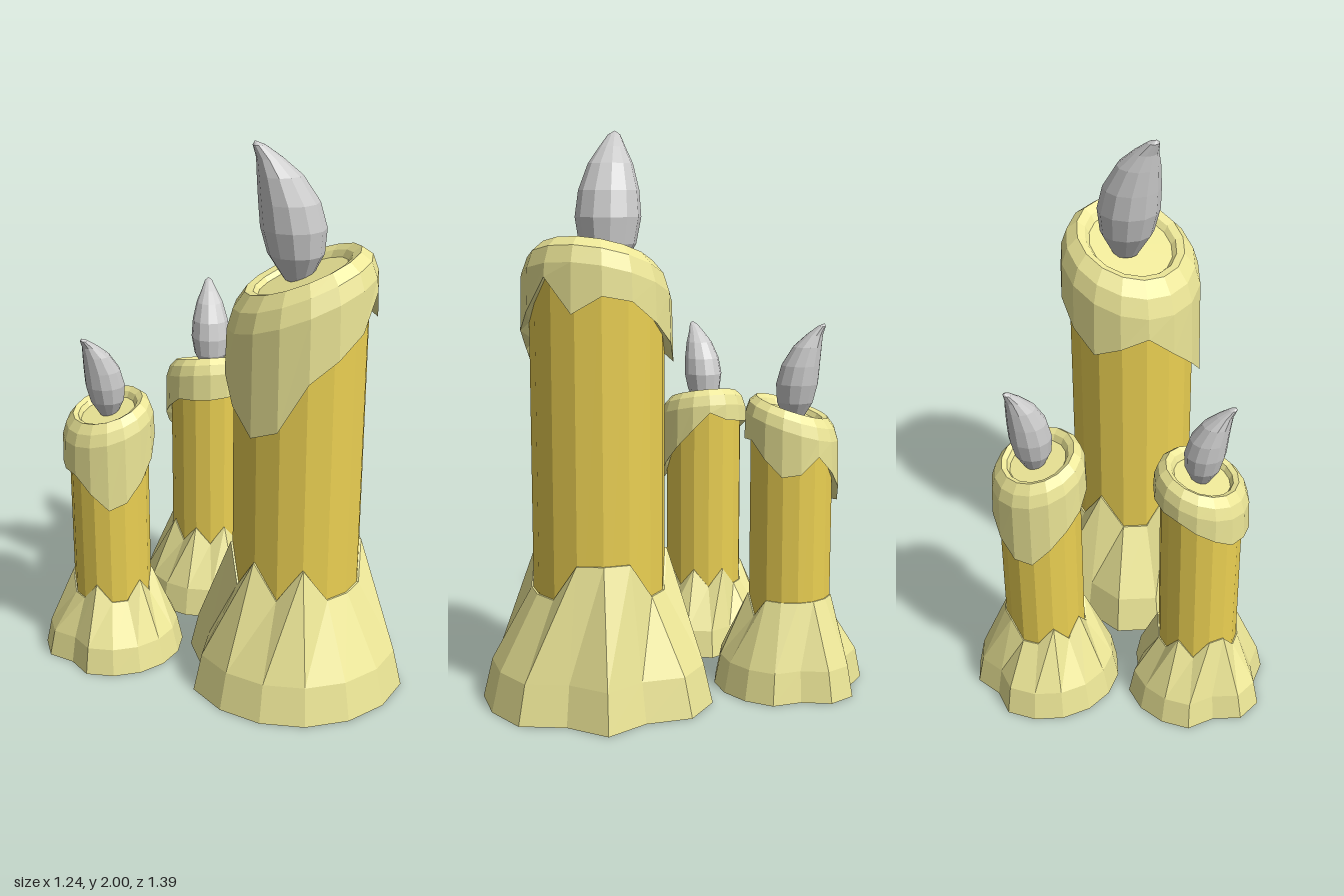
import * as THREE from 'three';

const SIDES = 16;
const { lerp } = THREE.MathUtils;
const wax = new THREE.MeshStandardMaterial({ color: 0xebe596, flatShading: true, side: THREE.DoubleSide });
const gold = new THREE.MeshStandardMaterial({ color: 0xebd052, flatShading: true });
const grey = new THREE.MeshStandardMaterial({ color: 0xcccccc, flatShading: true });

// One ring of points; radius and height are functions of the side index
function ring(radius, height, cx = 0, cz = 0, sides = SIDES) {
  return Array.from({ length: sides }, (_, k) => {
    const a = (k / sides) * Math.PI * 2, r = radius(k);
    return new THREE.Vector3(cx + r * Math.cos(a), height(k), cz + r * Math.sin(a));
  });
}

// Skin a list of rings, bottom to top, with flat facets
function loft(name, rings, material) {
  const pos = [];
  const tri = (a, b, c) => {
    if (a.distanceTo(b) < 1e-6 || b.distanceTo(c) < 1e-6 || c.distanceTo(a) < 1e-6) return;
    for (const p of [a, b, c]) pos.push(p.x, p.y, p.z);
  };
  for (let i = 0; i < rings.length - 1; i++) {
    const lo = rings[i], hi = rings[i + 1], n = lo.length;
    for (let k = 0; k < n; k++) {
      const j = (k + 1) % n;
      tri(lo[k], hi[k], lo[j]);
      tri(lo[j], hi[k], hi[j]);
    }
  }
  const geo = new THREE.BufferGeometry();
  geo.setAttribute('position', new THREE.Float32BufferAttribute(pos, 3));
  geo.computeVertexNormals();
  const mesh = new THREE.Mesh(geo, material);
  mesh.name = name;
  return mesh;
}

// Height on side k, running straight between [side, height] keys around the candle
function aroundEdge(keys, k) {
  const next = keys.findIndex(key => key[0] > k);
  const [k0, y0] = keys.at(next - 1 < 0 ? -1 : next - 1);
  const [k1, y1] = next < 0 ? [SIDES, keys[0][1]] : keys[next];
  return lerp(y0, y1, (k - k0) / (k1 - k0));
}

// Flame that swells, narrows and leans from its base to its tip
function makeFlame(base, tip, radius) {
  const width = new THREE.SplineCurve([[0, 0.4], [0.19, 0.86], [0.38, 1], [0.57, 0.92], [0.76, 0.68],
    [0.88, 0.4], [0.97, 0.19], [1, 0]].map(p => new THREE.Vector2(...p)));
  const rings = width.getPoints(7).map(({ x: t, y: r }) => {
    const lean = 0.25 * t + 0.75 * t ** 4;
    return ring(() => Math.max(r, 0) * radius, () => lerp(base[1], tip[1], t),
      lerp(base[0], tip[0], lean), lerp(base[2], tip[2], lean), 12);
  });
  return loft('flame', rings, grey);
}

function makeCandle(c) {
  const g = new THREE.Group();
  g.name = c.name;
  const R = c.bodyRadius, cap = c.capRadius, [gx, gz] = c.tilt;
  // Ring on the sloping top, lowered by a drop
  const topRing = (r, drop) => ring(() => r, k => {
    const a = (k / SIDES) * Math.PI * 2;
    return c.top + r * (gx * Math.cos(a) + gz * Math.sin(a)) - drop;
  });
  const foot = k => c.footRadius * (c.dents.includes(k) ? 0.84 : 1);
  const footTop = k => (c.peaks.includes(k) ? c.footHigh : c.footLow);
  const drip = k => aroundEdge(c.drip, k);

  // Candle shaft
  g.add(loft('shaft', [ring(() => R, () => 0.02), topRing(R, 0.2 * R)], gold));

  // Pooled wax around the foot, with a jagged upper edge
  g.add(loft('waxFoot', [
    ring(foot, () => 0),
    ring(k => foot(k) * 0.92, () => c.footStep),
    ring(() => R * 1.03, footTop),
    ring(() => R * 0.98, footTop),
  ], wax));
  g.add(loft('underside', [ring(() => 0, () => 0), ring(foot, () => 0)], gold));

  // Melted cap with drips and a shallow pool on top
  g.add(loft('waxCap', [
    ring(() => R * 0.99, k => drip(k) + 0.03),
    ring(() => cap, drip),
    topRing(cap * 0.98, 0.4 * cap),
    topRing(cap * 0.9, 0.16 * cap),
    topRing(cap * 0.75, 0),
    topRing(cap * 0.64, 0.01),
    topRing(cap * 0.58, 0.03),
    topRing(0, 0.03),
  ], wax));
  g.position.set(c.at[0], 0, c.at[1]);
  return g;
}

export function createModel() {
  const model = new THREE.Group();
  model.name = 'candleCluster';

  model.add(makeCandle({
    name: 'tallCandle', at: [0.2, 0.277], bodyRadius: 0.235, capRadius: 0.266, top: 1.565, tilt: [0.35, 0.18],
    footRadius: 0.42, footStep: 0.14, footLow: 0.4, footHigh: 0.53,
    dents: [1, 9, 12, 15], peaks: [0, 1, 5, 7, 9, 12, 15],
    drip: [[0, 1.45], [1, 1.39], [2, 1.51], [3, 1.39], [5, 1.24], [6, 1.06], [7, 1.02], [10, 1.28], [12, 1.2], [15, 1.43]],
  }), makeFlame([0.2, 1.52, 0.24], [0.05, 2, 0.2], 0.115));

  model.add(makeCandle({
    name: 'shortCandle', at: [-0.356, -0.178], bodyRadius: 0.147, capRadius: 0.172, top: 1, tilt: [0.28, -0.06],
    footRadius: 0.268, footStep: 0.1, footLow: 0.25, footHigh: 0.32,
    dents: [7, 10, 15], peaks: [1, 3, 6, 9, 10, 12, 15],
    drip: [[0, 0.95], [4, 0.67], [5, 0.645], [7, 0.77], [9, 0.78], [12, 0.89], [15, 0.92]],
  }), makeFlame([-0.352, 0.96, -0.18], [-0.46, 1.28, -0.145], 0.073));

  model.add(makeCandle({
    name: 'middleCandle', at: [0.168, -0.422], bodyRadius: 0.149, capRadius: 0.172, top: 1.03, tilt: [-0.08, 0.3],
    footRadius: 0.276, footStep: 0.11, footLow: 0.27, footHigh: 0.34,
    dents: [0, 13], peaks: [0, 1, 2, 4, 6, 8, 10, 13, 14, 15],
    drip: [[0, 0.81], [1, 0.8], [3, 0.92], [7, 0.9], [9, 0.8], [11, 0.67], [12, 0.68], [15, 0.87]],
  }), makeFlame([0.18, 0.98, -0.425], [0.216, 1.33, -0.525], 0.076));

  return model;
}
